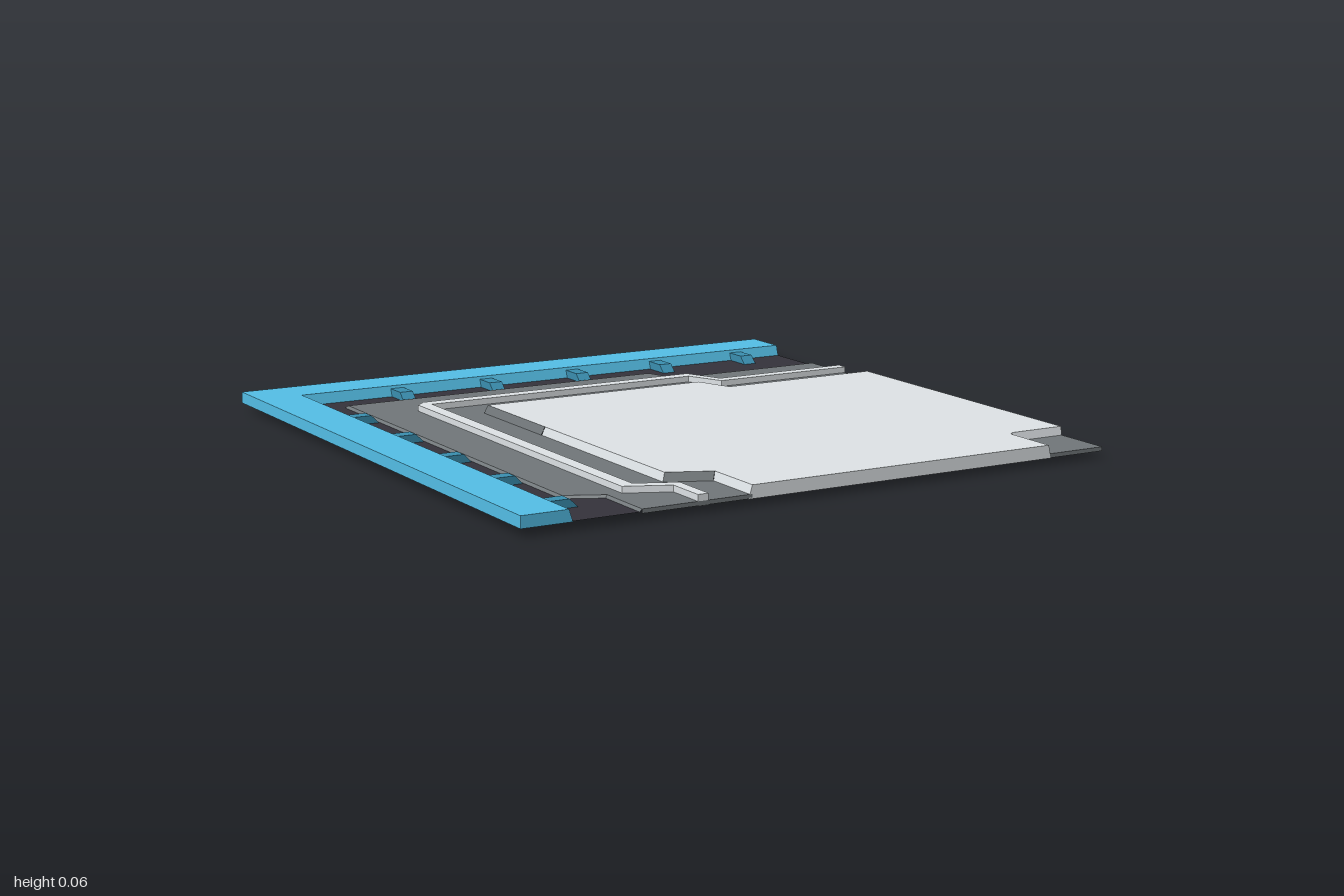
import * as THREE from 'three';

const material = (name, color) => {
  const m = new THREE.MeshStandardMaterial({ color, side: THREE.DoubleSide });
  m.name = name;
  return m;
};

const named = (name, geo, mat) => {
  const mesh = new THREE.Mesh(geo, mat);
  mesh.name = name;
  return mesh;
};

// Flat sheet from a ground outline of [x, z] points
function sheet(name, mat, outline, y) {
  const shape = new THREE.Shape(outline.map(([x, z]) => new THREE.Vector2(x, -z)));
  return named(name, new THREE.ShapeGeometry(shape).rotateX(-Math.PI / 2).translate(0, y, 0), mat);
}

// Open wall along a ground path; flare moves the lower edge
function wall(name, mat, path, y0, y1, flare = (p) => p) {
  const pos = [];
  for (let i = 1; i < path.length; i++) {
    const [a, b] = [path[i - 1], path[i]];
    const [c, d] = [flare(a), flare(b)];
    const [A, B, C, D] = [[a[0], y1, a[1]], [b[0], y1, b[1]], [c[0], y0, c[1]], [d[0], y0, d[1]]];
    pos.push(...A, ...C, ...D, ...A, ...D, ...B);
  }
  const geo = new THREE.BufferGeometry();
  geo.setAttribute('position', new THREE.Float32BufferAttribute(pos, 3));
  geo.computeVertexNormals();
  return named(name, geo, mat);
}

// Slopes the walls of a layer outwards, steps and notch included; tile sides stay straight
const slopeOut = (d) => {
  const move = (v) => (v > 0.99 ? v : v > 0.2 ? v + 0.7 * d : v - d);
  return ([x, z]) => [move(x), move(z)];
};

export function createModel() {
  const blue = material('frame blue', 0x54bfe7);
  const deepBlue = material('clip blue', 0x3a8fb0);
  const pale = material('pale grey', 0xdfe4e7);
  const grey = material('mid grey', 0x71777a);
  const dark = material('dark floor', 0x35333b);
  const model = new THREE.Group();
  model.name = 'floorCornerTile';

  // L-shaped frame, open from below, with inner walls leaning out
  const frame = [[-0.85, 1], [-1, 1], [-1, -1], [1, -1], [1, -0.85], [-0.85, -0.85], [-0.85, 1]];
  const leanOne = (v) => (v === -0.85 ? v + 0.012 : v);
  model.add(sheet('frameTop', blue, frame.slice(0, -1), 0.062));
  model.add(wall('frameWalls', blue, frame, 0.025, 0.062, (p) => p.map(leanOne)));

  // Edge of the stepped grey layer, and the dark floor band outside it
  const greyEdge = [[-0.62, 1], [-0.62, 0.8], [-0.735, 0.745], [-0.735, -0.735],
    [0.4, -0.735], [0.44, -0.615], [1, -0.615]];
  model.add(sheet('floor', dark, [
    [1, -0.845], [-0.845, -0.845], [-0.845, 1], ...greyEdge.map(slopeOut(0.008)),
  ], 0.027));

  // Outline of the main plate in runs: left, front step, front with notched corner, back
  const left = [[-0.395, 0], [-0.395, 0.737]];
  const step = [[-0.395, 0.737], [-0.26, 0.795]];
  const front = [[-0.26, 0.795], [-0.26, 1], [0.795, 1], [0.795, 0.812], [0.81, 0.797], [1, 0.797],
    [1, -0.27], [0.83, -0.27]];
  const back = [[0.83, -0.27], [0.445, -0.27], [0.4, -0.395], [-0.395, -0.395], [-0.395, 0]];

  // Grey layer around the plate and in its notch
  const plateFoot = [...back, ...step, [-0.26, 1]].map(slopeOut(0.008));
  model.add(sheet('greyLayer', grey, [...greyEdge, [1, -0.278], ...plateFoot], 0.035));
  model.add(wall('greyEdge', grey, greyEdge, 0.025, 0.035, slopeOut(0.01)));
  model.add(wall('greyFrontEnd', grey, [[-0.62, 1], [-0.26, 1]], 0.022, 0.035));
  model.add(wall('greySideEnd', grey, [[1, -0.615], [1, -0.27]], 0.022, 0.035));
  model.add(sheet('notchFloor', grey, [[0.8, 0.8], [0.8, 1], [1, 1], [1, 0.8]], 0.035));
  model.add(wall('notchEnds', grey, [[0.8, 1], [1, 1], [1, 0.8]], 0.022, 0.035));

  // Main plate, open from below; its back, upper left and step walls are grey
  model.add(sheet('plateTop', pale, [...left, ...step.slice(1), ...front.slice(1), ...back.slice(1, -1)], 0.062));
  for (const run of [left, front]) model.add(wall('plateWall', pale, run, 0.021, 0.062, slopeOut(0.012)));
  for (const run of [step, back]) model.add(wall('plateGreyWall', grey, run, 0.021, 0.062, slopeOut(0.014)));

  // Raised pale strip following the steps; its walls reach below the grey layer
  const strip = [[-0.44, 1], [-0.44, 0.865], [-0.575, 0.805], [-0.575, -0.54], [-0.54, -0.575],
    [0.46, -0.575], [0.515, -0.445], [1, -0.445], [1, -0.405], [0.495, -0.405], [0.44, -0.53],
    [-0.53, -0.53], [-0.53, 0.785], [-0.405, 0.84], [-0.405, 1]];
  model.add(sheet('stripTop', pale, strip, 0.055));
  model.add(wall('stripWalls', pale, [...strip, strip[0]], 0.021, 0.055));

  // Clip: wedge above the floor, hollow rails and end wall below; lies along +x
  const profile = (name, pts, width, z) => {
    const geo = new THREE.ExtrudeGeometry(new THREE.Shape(pts.map(([x, y]) => new THREE.Vector2(x, y))),
      { depth: width, bevelEnabled: false });
    return named(name, geo.translate(0, 0, z - width / 2), deepBlue);
  };
  const makeClip = () => {
    const clip = new THREE.Group();
    clip.name = 'clip';
    clip.add(profile('clipTop', [[-0.836, 0.026], [-0.745, 0.026], [-0.772, 0.053], [-0.846, 0.053]], 0.046, 0));
    for (const s of [-1, 1]) {
      clip.add(profile('clipRail', [[-0.89, 0], [-0.735, 0], [-0.745, 0.026], [-0.89, 0.026]], 0.009, s * 0.0185));
    }
    clip.add(profile('clipEnd', [[-0.747, 0], [-0.735, 0], [-0.745, 0.026], [-0.757, 0.026]], 0.028, 0));
    return clip;
  };
  for (let i = 0; i < 5; i++) {
    const leftClip = makeClip();
    leftClip.position.z = -0.494 + i * 0.3325;
    const backClip = makeClip();
    backClip.rotation.y = -Math.PI / 2;
    backClip.position.x = -0.508 + i * 0.3325;
    model.add(leftClip, backClip);
  }
  return model;
}
